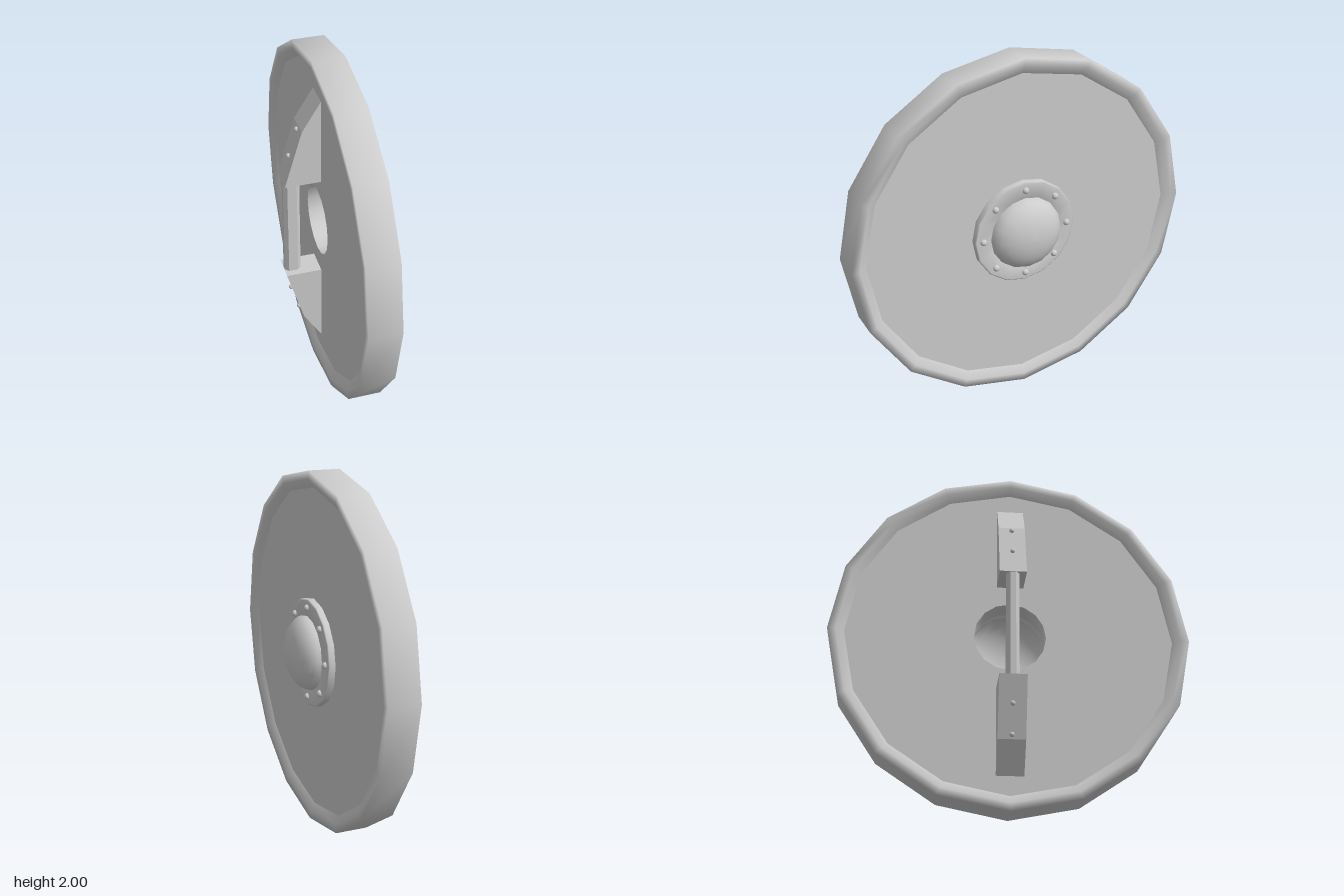
import * as THREE from 'three';
import { toCreasedNormals } from 'three/addons/utils/BufferGeometryUtils.js';

const SIDES = 16;

export function createModel() {
  const model = new THREE.Group();
  model.name = 'roundShield';
  const grey = new THREE.MeshStandardMaterial({ color: 0xcccccc });
  grey.name = 'paleGrey';
  const greyInside = grey.clone();
  greyInside.name = 'paleGreyDoubleSided';
  greyInside.side = THREE.DoubleSide;

  const add = (name, geometry, parent, material = grey) => {
    const mesh = new THREE.Mesh(geometry, material);
    mesh.name = name;
    parent.add(mesh);
    return mesh;
  };

  // Turned parts: [radius, x] profiles swept around the x axis
  const turned = (points) => new THREE.LatheGeometry(
    points.map(([r, x]) => new THREE.Vector2(r, x)), SIDES).rotateZ(-Math.PI / 2);

  const body = new THREE.Group();
  body.name = 'body';
  body.position.y = 1;
  model.add(body);

  // Raised rim with softly shaded edges
  add('rim', turned([[0.91, -0.04], [0.955, -0.07], [1, -0.07], [1, 0.11], [0.955, 0.11], [0.91, 0.08]]), body);

  // Flat board with a round opening behind the boss
  add('board', toCreasedNormals(turned([
    [0.2, -0.04], [0.92, -0.04], [0.92, 0.08], [0.2, 0.08], [0.2, -0.04]]), Math.PI / 5), body);

  // Boss: flange and hollow dome
  add('bossFlange', turned([[0.303, 0.08], [0.303, 0.112], [0.295, 0.118], [0.2, 0.12], [0.2, 0.08]]), body);
  const dome = [];
  for (let i = 0; i <= 8; i++) {
    const a = (i / 8) * Math.PI / 2;
    dome.push([0.21 * Math.cos(a), 0.118 + 0.117 * Math.sin(a)]);
  }
  add('bossDome', turned(dome), body, greyInside);

  // Flange rivets
  const rivet = new THREE.SphereGeometry(0.019, 10, 8);
  for (let i = 0; i < 8; i++) {
    const a = (i / 8) * Math.PI * 2;
    add('flangeRivet', rivet, body).position.set(0.12, 0.255 * Math.sin(a), 0.255 * Math.cos(a));
  }

  // Handle brackets, mirrored above and below the grip
  const handle = new THREE.Group();
  handle.name = 'handle';
  body.add(handle);
  const smallRivet = new THREE.SphereGeometry(0.014, 10, 8);
  for (const s of [1, -1]) {
    const outline = [[-0.035, 0.305], [-0.035, 0.81], [-0.143, 0.635], [-0.24, 0.305]];
    const shape = new THREE.Shape(outline.map(([x, y]) => new THREE.Vector2(x, s * y)));
    const bracket = new THREE.ExtrudeGeometry(shape, { depth: 0.15, bevelEnabled: false });
    add(s > 0 ? 'upperBracket' : 'lowerBracket', bracket.translate(0, 0, -0.075), handle);
    for (const [x, y] of [[-0.152, 0.612], [-0.198, 0.455]])
      add('bracketRivet', smallRivet, handle).position.set(x, s * y, 0);
  }

  // Grip bar with chamfered corners
  const w = 0.046, d = 0.035, c = 0.02;
  const section = new THREE.Shape([
    [w, d - c], [w - c, d], [c - w, d], [-w, d - c],
    [-w, c - d], [c - w, -d], [w - c, -d], [w, c - d],
  ].map(([x, y]) => new THREE.Vector2(x, y)));
  const grip = new THREE.ExtrudeGeometry(section, { depth: 0.62, bevelEnabled: false });
  grip.translate(0, 0, -0.31).rotateX(-Math.PI / 2);
  add('grip', grip, handle).position.x = -0.191;

  return model;
}
